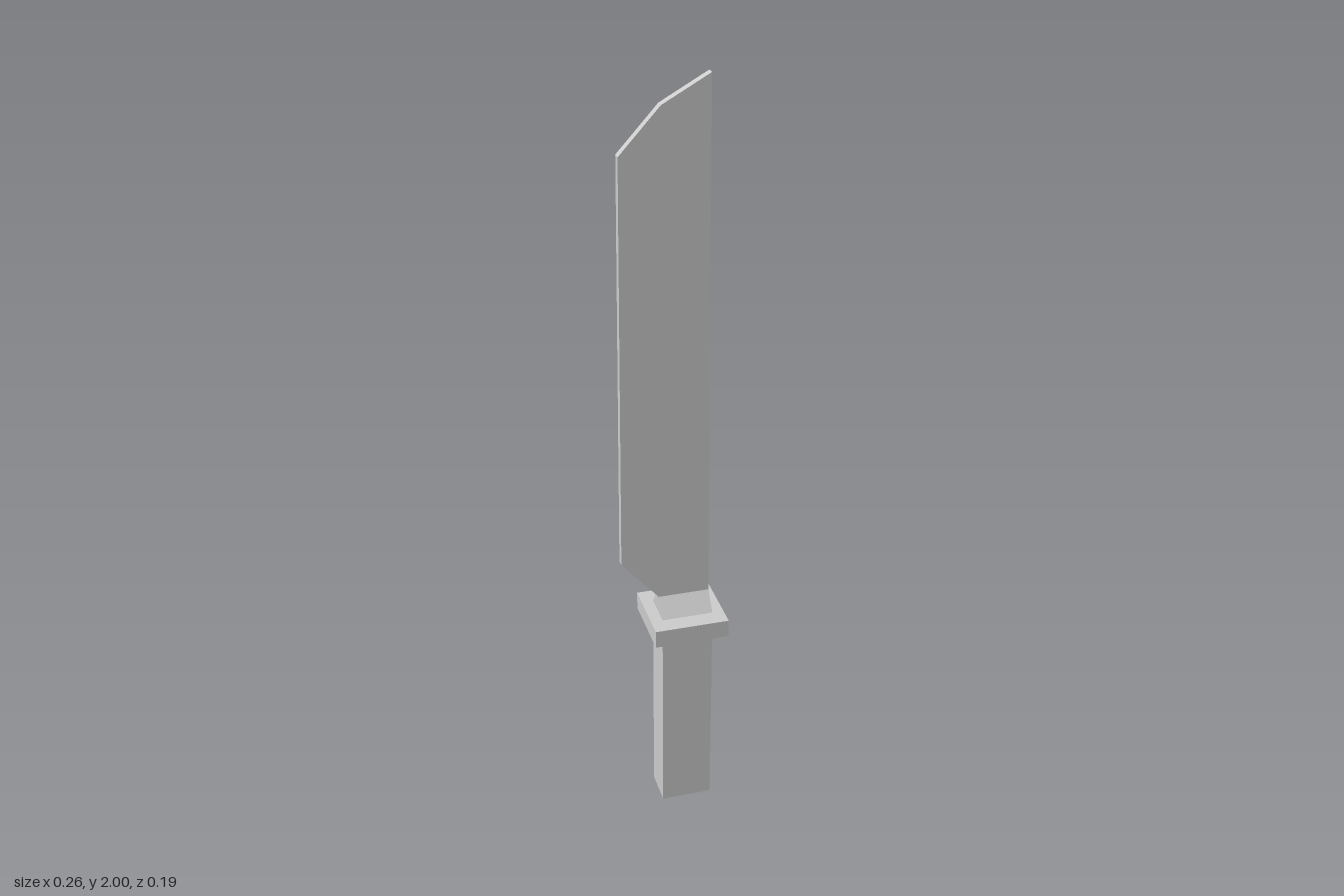
import * as THREE from 'three';

const material = new THREE.MeshStandardMaterial({ color: 0xcccccc, flatShading: true });

function addPart(group, name, geometry) {
  const mesh = new THREE.Mesh(geometry, material);
  mesh.name = name;
  group.add(mesh);
}

// Box given by its minimum and maximum corners
function boxBetween([x0, y0, z0], [x1, y1, z1]) {
  return new THREE.BoxGeometry(x1 - x0, y1 - y0, z1 - z0)
    .translate((x0 + x1) / 2, (y0 + y1) / 2, (z0 + z1) / 2);
}

function extrudeOutline(points, depth) {
  const shape = new THREE.Shape(points.map(([x, y]) => new THREE.Vector2(x, y)));
  return new THREE.ExtrudeGeometry(shape, { depth, bevelEnabled: false });
}

export function createModel() {
  const group = new THREE.Group();
  group.name = 'machete';

  // Square grip and the wider guard plate above it
  addPart(group, 'handle', boxBetween([-0.034, 0, -0.049], [0.1, 0.545, 0.047]));
  addPart(group, 'guard', boxBetween([-0.065, 0.545, -0.096], [0.13, 0.593, 0.094]));

  // Wedge collar: a z-y profile run along x, tapering to the blade thickness
  const collar = extrudeOutline(
    [[-0.049, 0.593], [0.047, 0.593], [0.01, 0.642], [-0.011, 0.642]], 0.134);
  collar.rotateY(-Math.PI / 2).translate(0.1, 0, 0);
  addPart(group, 'collar', collar);

  // Flat blade with a straight spine and a clipped tip
  const blade = extrudeOutline([
    [-0.034, 0.642], [0.1, 0.642], [0.092, 2], [-0.025, 1.935],
    [-0.125, 1.825], [-0.132, 0.755],
  ], 0.021);
  blade.translate(0, 0, -0.011);
  addPart(group, 'blade', blade);

  return group;
}
